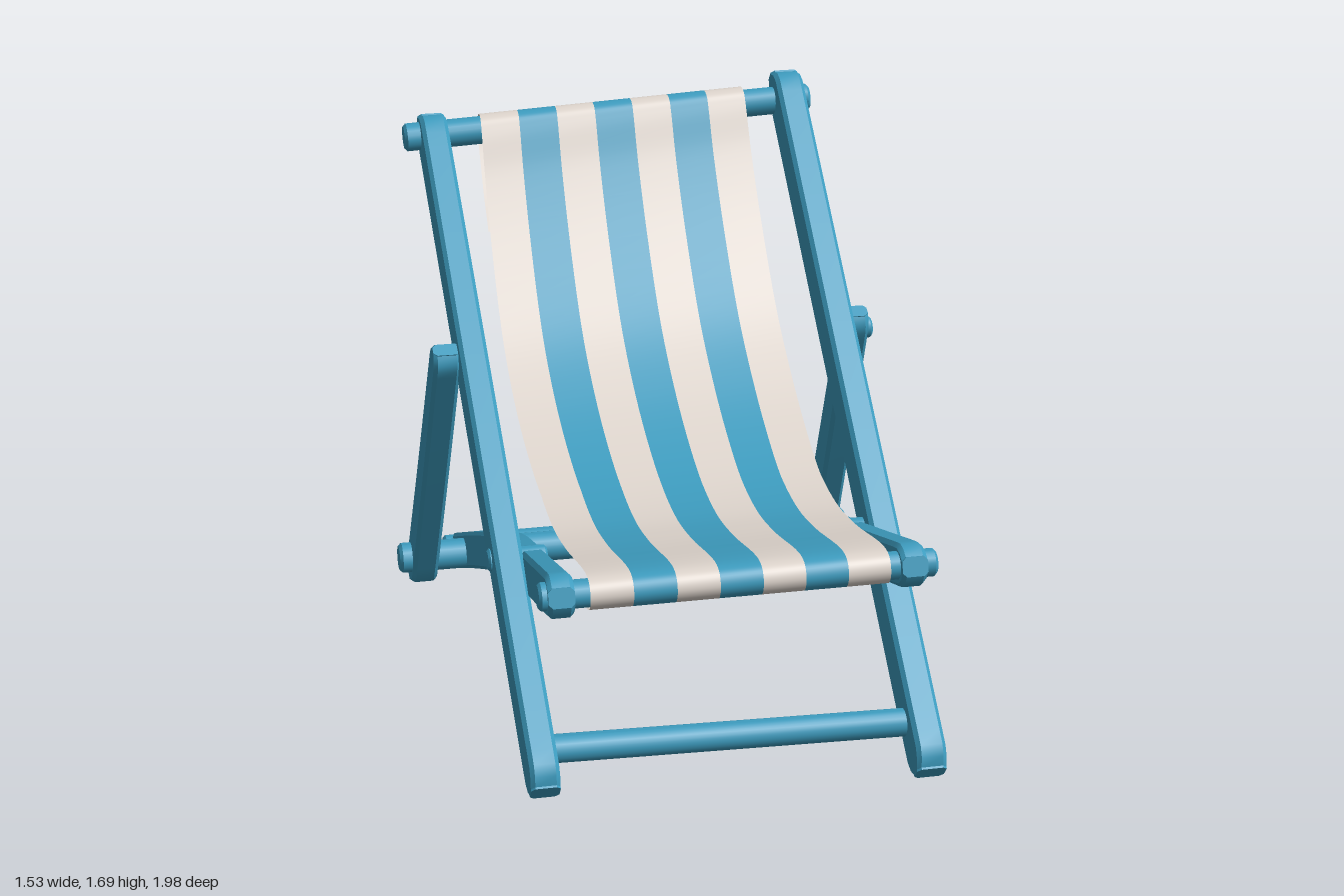
import * as THREE from 'three';
import { toCreasedNormals } from 'three/addons/utils/BufferGeometryUtils.js';

const V = (x, y, z) => new THREE.Vector3(x, y, z);

export function createModel() {
  const group = new THREE.Group();
  const blue = new THREE.MeshStandardMaterial({ color: 0x3d9cbf, side: THREE.DoubleSide });
  blue.name = 'blue paint';
  const cream = new THREE.MeshStandardMaterial({ color: 0xddd4cc, side: THREE.DoubleSide });
  cream.name = 'cream canvas';

  const add = (name, geometry, material) => {
    const mesh = new THREE.Mesh(geometry, material);
    mesh.name = name;
    group.add(mesh);
    return mesh;
  };

  // Chamfered plank with rounded ends, swept along a path; half width tapers from w0 to w1
  function plank(name, points, w0, w1, halfThick) {
    const curve = new THREE.CatmullRomCurve3(points);
    const length = curve.getLength();
    const geo = new THREE.CylinderGeometry(1, 1, 1, 8, 30, false, Math.PI / 8);
    const pos = geo.attributes.position;
    const side = V(1, 0, 0);
    const chamfer = 0.012;
    const corner = (c, h) => Math.sign(c) * (Math.abs(c) > 0.5 ? h : Math.max(h - chamfer, h * 0.5));
    for (let i = 0; i < pos.count; i++) {
      const u = THREE.MathUtils.clamp((1 - Math.cos(Math.PI * (pos.getY(i) + 0.5))) / 2, 0, 1);
      const w = THREE.MathUtils.lerp(w0, w1, u);
      const d = Math.min(u, 1 - u) * length;
      const round = d < w ? Math.max(0.45, Math.sqrt(1 - (1 - d / w) ** 2)) : 1;
      const cx = Math.abs(pos.getX(i)) < 1e-6 ? 0 : pos.getX(i);
      const cz = Math.abs(pos.getZ(i)) < 1e-6 ? 0 : pos.getZ(i);
      const up = side.clone().cross(curve.getTangentAt(u)).normalize();
      const p = curve.getPointAt(u)
        .addScaledVector(side, corner(cx, halfThick))
        .addScaledVector(up, corner(cz, w * round));
      pos.setXYZ(i, p.x, p.y, p.z);
    }
    return add(name, toCreasedNormals(geo, 0.5), blue);
  }

  // Round dowel with softened ends
  function dowel(name, a, b, r) {
    const dir = b.clone().sub(a);
    const h = dir.length() / 2;
    const e = r * 0.2;
    const profile = [[0, -h], [r - e, -h], [r, -h + e], [r, h - e], [r - e, h], [0, h]];
    const geo = new THREE.LatheGeometry(profile.map(([x, y]) => new THREE.Vector2(x, y)), 18);
    const mesh = add(name, toCreasedNormals(geo, 0.6), blue);
    mesh.position.copy(a).add(b).multiplyScalar(0.5);
    mesh.quaternion.setFromUnitVectors(V(0, 1, 0), dir.normalize());
  }

  // Back rails: the two sides are slightly uneven
  plank('leftBackRail', [V(0.57, 0.065, 0.97), V(0.575, 0.875, 0.035), V(0.58, 1.685, -0.9)], 0.07, 0.07, 0.045);
  plank('rightBackRail', [V(-0.57, 0.12, 0.955), V(-0.58, 0.86, 0.028), V(-0.592, 1.605, -0.9)], 0.07, 0.07, 0.043);

  // Seat rails, bowed up and slightly inwards
  for (const [name, s, front, drop] of [['leftSeatRail', 1, 0.5, 0], ['rightSeatRail', -1, 0.52, 0.01]]) {
    plank(name, [
      V(s * front, 0.735, 0.985), V(s * 0.495, 0.56, 0.4), V(s * 0.485, 0.447, 0),
      V(s * 0.5, 0.255, -0.5), V(s * 0.518, 0.065 - drop, -0.975),
    ], 0.064, 0.06, 0.038);
  }

  // Prop legs
  plank('leftPropLeg', [V(0.64, 1.1, -0.185), V(0.665, 0.58, -0.472), V(0.69, 0.065, -0.76)], 0.05, 0.066, 0.04);
  plank('rightPropLeg', [V(-0.66, 1.07, -0.185), V(-0.672, 0.57, -0.472), V(-0.685, 0.075, -0.76)], 0.05, 0.066, 0.042);

  // Cross bars
  dowel('topBar', V(-0.685, 1.56, -0.86), V(0.655, 1.62, -0.855), 0.045);
  dowel('frontSeatBar', V(-0.58, 0.72, 0.93), V(0.575, 0.72, 0.93), 0.041);
  dowel('frontStretcher', V(-0.58, 0.2, 0.84), V(0.58, 0.165, 0.83), 0.042);
  dowel('propBar', V(-0.765, 0.16, -0.71), V(0.765, 0.155, -0.71), 0.05);
  dowel('rearSeatBar', V(-0.585, 0.09, -0.925), V(0.585, 0.095, -0.915), 0.043);

  // Pivot pins
  for (const s of [1, -1]) {
    const side = s > 0 ? 'left' : 'right';
    dowel(side + 'RailPivot', V(s * 0.45, 0.585, 0.34), V(s * 0.63, 0.588, 0.345), 0.034);
    dowel(side + 'PropPivot', V(s * 0.535, 1.03, -0.21), V(s * 0.7, 1.035, -0.215), 0.035);
  }

  // Canvas sling: profile in (z, y), from the front hem over both bars to the rear flap
  const sling = new THREE.CatmullRomCurve3([
    [0.8, 0.662], [0.92, 0.668], [0.965, 0.685], [0.981, 0.72], [0.965, 0.756], [0.92, 0.77],
    [0.6, 0.715], [0.4, 0.697], [0.2, 0.72], [0, 0.785], [-0.2, 0.885], [-0.4, 1.03],
    [-0.6, 1.26], [-0.74, 1.47], [-0.805, 1.6], [-0.83, 1.635], [-0.87, 1.643],
    [-0.907, 1.61], [-0.9, 1.56], [-0.8, 1.415], [-0.68, 1.3],
  ].map(([z, y]) => V(0, y, z)));
  const stripes = 7;
  for (let k = 0; k < stripes; k++) {
    const geo = new THREE.PlaneGeometry(1, 1, 1, 110);
    const pos = geo.attributes.position;
    for (let i = 0; i < pos.count; i++) {
      const f = (k + pos.getX(i) + 0.5) / stripes;
      const p = sling.getPoint(THREE.MathUtils.clamp(pos.getY(i) + 0.5, 0, 1));
      const back = THREE.MathUtils.clamp((0.2 - p.z) / 1.06, 0, 1);
      const bulge = 0.012 * Math.sin(Math.PI * back);
      const x = THREE.MathUtils.lerp(-0.438 - bulge, 0.43 + bulge, f);
      pos.setXYZ(i, x, p.y + (f - 0.5) * 0.042 * back, p.z);
    }
    geo.computeVertexNormals();
    add('canvasStripe' + (k + 1), geo, k % 2 ? blue : cream);
  }

  return group;
}
